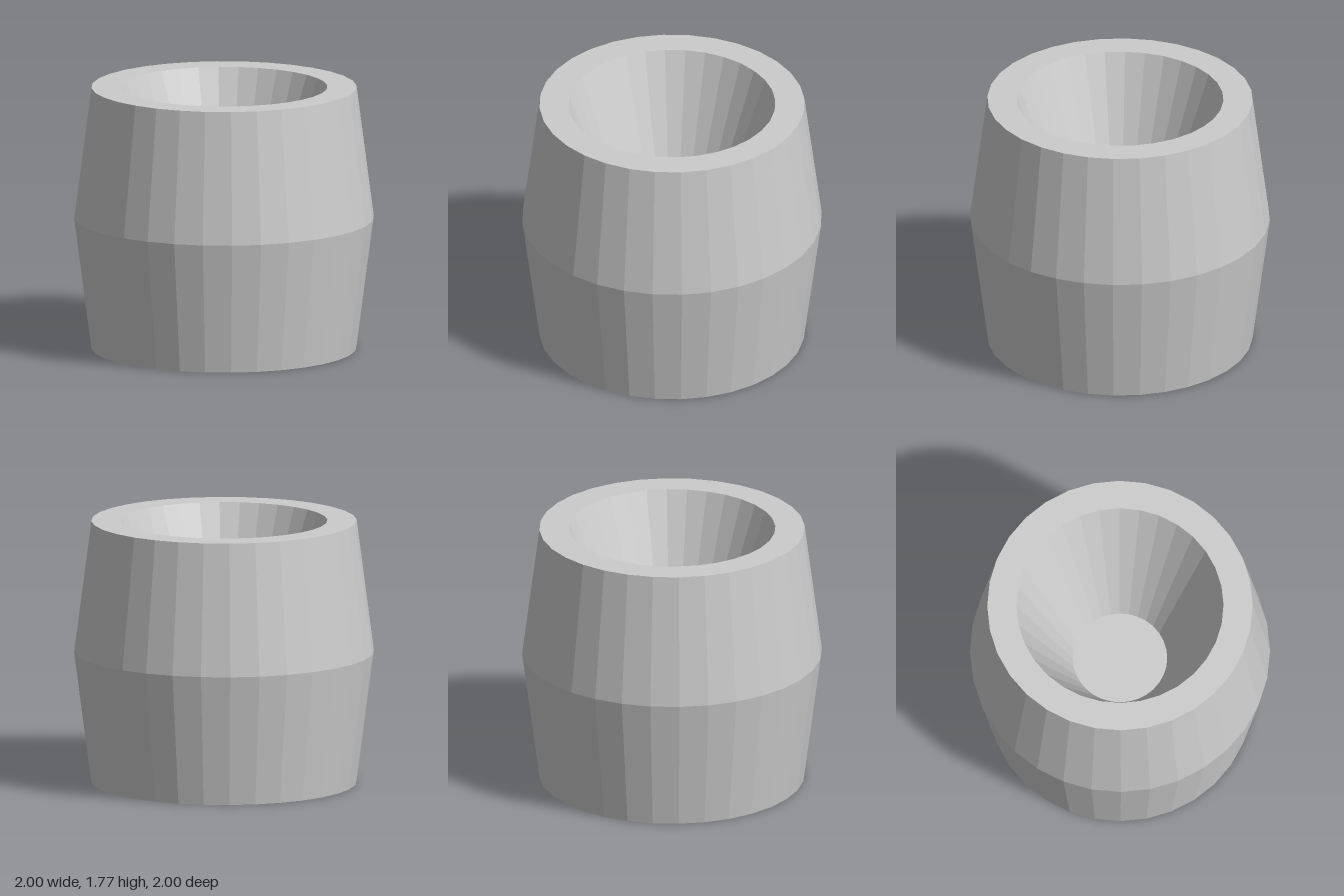
import * as THREE from 'three';

const SEGMENTS = 32;

// Faceted ring of revolution from [radius, height] points
function turned(name, points, material) {
  const profile = points.map(([r, y]) => new THREE.Vector2(r, y));
  const mesh = new THREE.Mesh(new THREE.LatheGeometry(profile, SEGMENTS), material);
  mesh.name = name;
  return mesh;
}

export function createModel() {
  const group = new THREE.Group();
  group.name = 'barrelPot';
  const material = new THREE.MeshStandardMaterial({ color: 0xcccccc, flatShading: true });

  const height = 1.77, endRadius = 0.885, bellyRadius = 1;
  const mouthRadius = 0.69, floorRadius = 0.315, floorHeight = 0.75;

  // Closed underside and bulging outer wall
  group.add(turned('base', [[0, 0], [endRadius, 0]], material));
  group.add(turned('outerWall', [[endRadius, 0], [bellyRadius, height / 2], [endRadius, height]], material));

  // Flat rim around the mouth
  group.add(turned('rim', [[endRadius, height], [mouthRadius, height]], material));

  // Tapered hollow with a flat floor
  group.add(turned('innerWall', [[mouthRadius, height], [floorRadius, floorHeight]], material));
  group.add(turned('innerFloor', [[floorRadius, floorHeight], [0, floorHeight]], material));

  return group;
}
